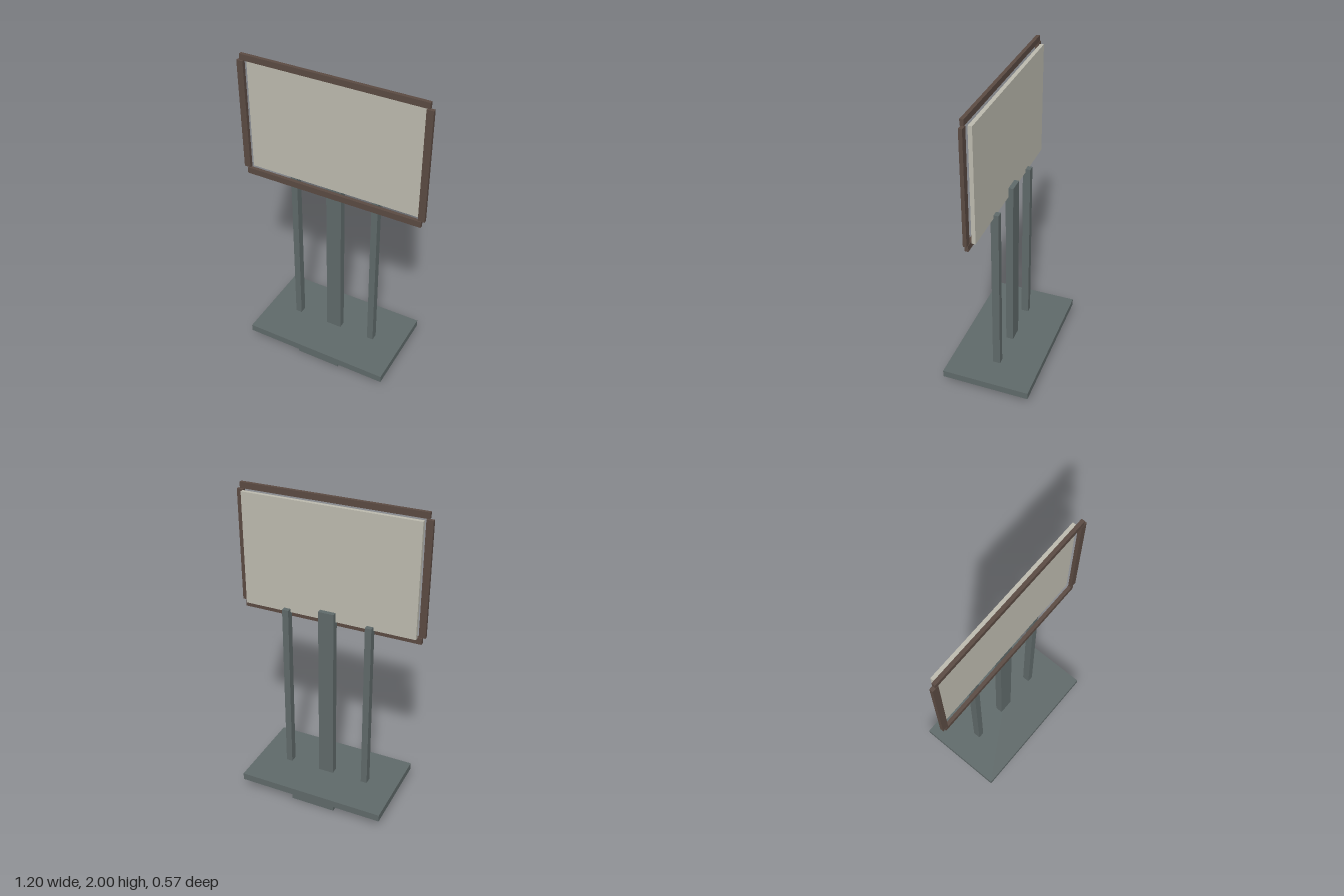
import * as THREE from 'three';

export function createModel() {
  const model = new THREE.Group();
  model.name = 'displayStand';

  const material = (name, color) => {
    const m = new THREE.MeshStandardMaterial({ color });
    m.name = name;
    return m;
  };
  const steel = material('slate steel', 0x5f6969);
  const trim = material('dark brown trim', 0x5a4a42);
  const board = material('pale board', 0xbcbaae);

  // Box given by its extents along each axis
  const box = (name, mat, [x0, x1], [y0, y1], [z0, z1], parent = model) => {
    const mesh = new THREE.Mesh(new THREE.BoxGeometry(x1 - x0, y1 - y0, z1 - z0), mat);
    mesh.position.set((x0 + x1) / 2, (y0 + y1) / 2, (z0 + z1) / 2);
    mesh.name = name;
    parent.add(mesh);
  };

  // Foot block and base plate
  box('footBlock', steel, [-0.147, 0.147], [0, 0.08], [-0.233, 0.233]);
  box('basePlate', steel, [-0.48, 0.48], [0.08, 0.127], [-0.284, 0.284]);

  // Posts: one wide in the centre, a slim one on each side
  const postDepth = [-0.03, 0.018];
  box('centrePost', steel, [-0.05, 0.05], [0.127, 1.304], postDepth);
  box('leftPost', steel, [0.25, 0.291], [0.127, 1.265], postDepth);
  box('rightPost', steel, [-0.291, -0.25], [0.127, 1.265], postDepth);

  // Display board
  box('displayBoard', board, [-0.553, 0.553], [1.243, 1.957], [0, 0.024]);

  // Four separate bars standing just in front of the board
  const frame = new THREE.Group();
  frame.name = 'frame';
  model.add(frame);
  const barDepth = [0.034, 0.056];
  box('topBar', trim, [-0.577, 0.577], [1.963, 2], barDepth, frame);
  box('bottomBar', trim, [-0.577, 0.577], [1.2, 1.24], barDepth, frame);
  box('leftBar', trim, [0.557, 0.598], [1.245, 1.957], barDepth, frame);
  box('rightBar', trim, [-0.598, -0.557], [1.245, 1.957], barDepth, frame);

  return model;
}
